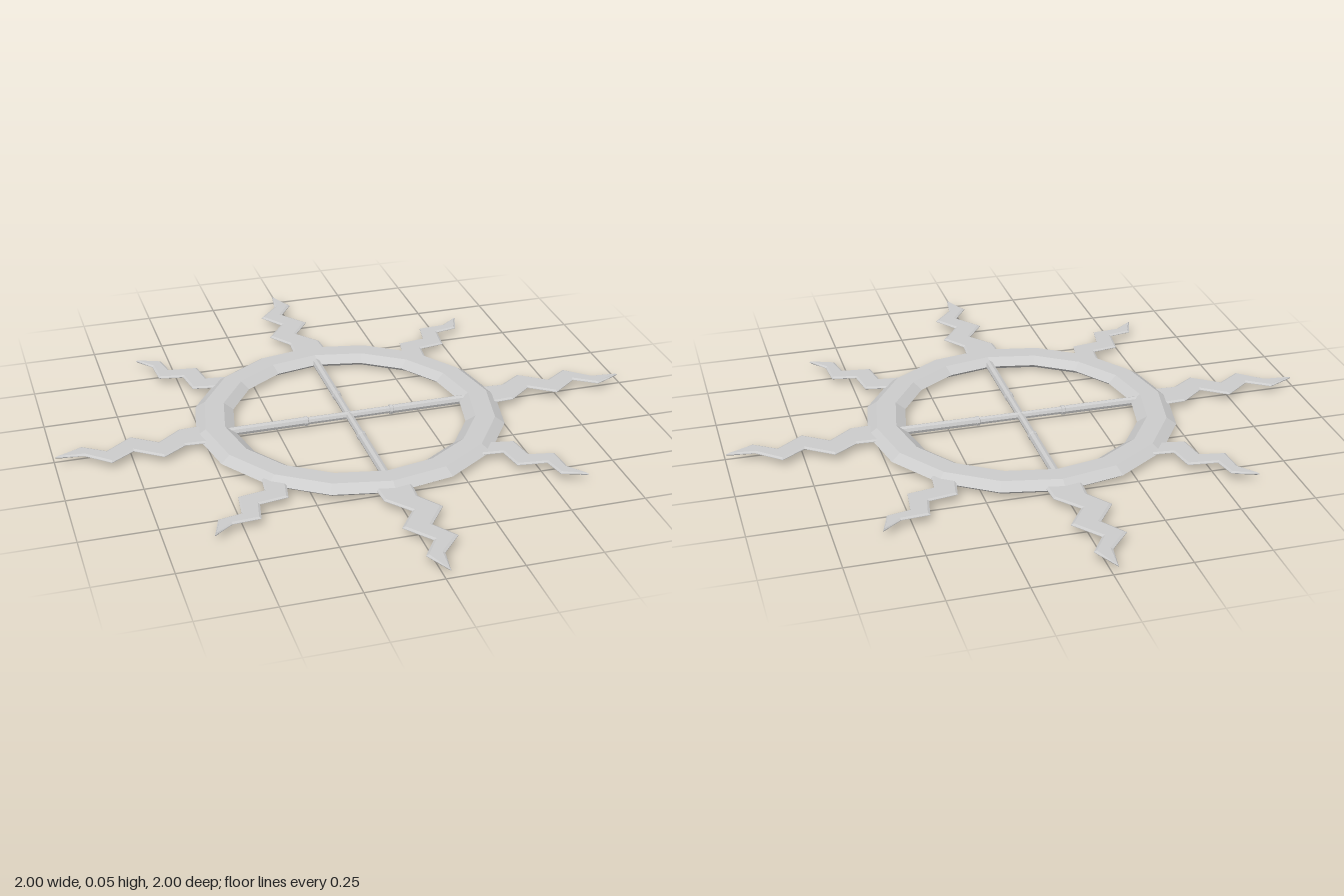
import * as THREE from 'three';

const MID_Y = 0.0225;
const material = new THREE.MeshStandardMaterial({ color: 0xcccccc, flatShading: true });

function addMesh(parent, name, geometry) {
  const mesh = new THREE.Mesh(geometry, material);
  mesh.name = name;
  parent.add(mesh);
  return mesh;
}

// Sixteen-sided ring with a flattened hexagonal cross-section
function ringGeometry() {
  const profile = [];
  for (let i = 0; i <= 6; i++) {
    const a = (i % 6) * Math.PI / 3;
    profile.push(new THREE.Vector2(0.462 + 0.066 * Math.cos(a), 0.026 * Math.sin(a)));
  }
  return new THREE.LatheGeometry(profile, 16);
}

// Zigzag ray pointing along +z: a thin plate with bevelled edges
function rayGeometry() {
  const outline = [
    [0.06, 0.49], [0.055, 0.575], [0.11, 0.655], [0.045, 0.745], [0.10, 0.825],
    [0.03, 0.905], [0.016, 0.998], [-0.03, 0.905], [0.02, 0.83], [-0.05, 0.74],
    [0.01, 0.655], [-0.055, 0.575], [-0.06, 0.49],
  ].map(([x, z]) => new THREE.Vector2(x, z));
  const geometry = new THREE.ExtrudeGeometry(new THREE.Shape(outline), {
    depth: 0.002, bevelEnabled: true, bevelSegments: 1,
    bevelThickness: 0.004, bevelSize: 0.008, bevelOffset: -0.008,
  });
  geometry.translate(0, 0, -0.001);
  geometry.rotateX(Math.PI / 2);
  return geometry;
}

// Spoke along +z: slim inner rod, collar, thicker outer rod
function spokeGeometry() {
  const profile = [
    [0, 0], [0.013, 0], [0.013, 0.143], [0.017, 0.145],
    [0.017, 0.155], [0.015, 0.157], [0.015, 0.42], [0, 0.42],
  ].map(([r, d]) => new THREE.Vector2(r, d));
  return new THREE.LatheGeometry(profile, 8).rotateX(Math.PI / 2);
}

export function createModel() {
  const model = new THREE.Group();
  model.name = 'sunWheel';

  addMesh(model, 'ring', ringGeometry()).position.y = MID_Y;

  // Four long rays on the axes, four shorter ones between them
  const ray = rayGeometry();
  for (let i = 0; i < 8; i++) {
    const long = i % 2 === 0;
    const mesh = addMesh(model, long ? 'longRay' : 'shortRay', ray);
    const s = long ? 1 : 0.867;
    mesh.scale.set(s, 1, s);
    mesh.rotation.y = i * Math.PI / 4;
    mesh.position.y = MID_Y + 0.003;
  }

  // Crossed spokes
  const spoke = spokeGeometry();
  for (let i = 0; i < 4; i++) {
    const mesh = addMesh(model, 'spoke', spoke);
    mesh.rotation.y = i * Math.PI / 2;
    mesh.position.y = MID_Y;
  }

  return model;
}
